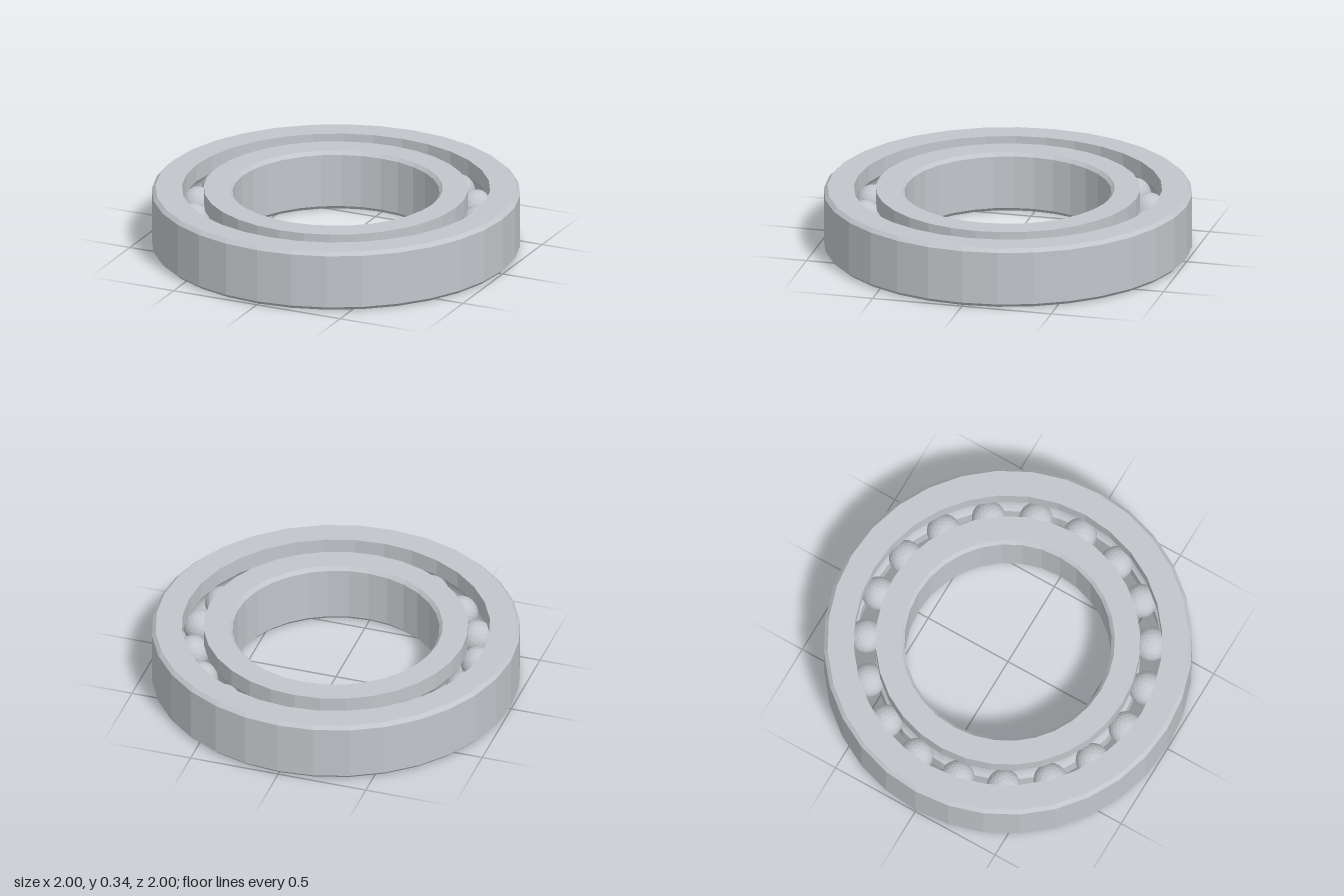
import * as THREE from 'three';

const HEIGHT = 0.336, MID = HEIGHT / 2, CHAMFER = 0.02;
const PITCH = 0.777, BALL_RADIUS = 0.092, BALLS = 19, SIDES = 32;

// Groove cross-section around the ball centre, swept between two angles in degrees
function groove(from, to, steps = 8) {
  const points = [];
  for (let i = 0; i <= steps; i++) {
    const a = THREE.MathUtils.degToRad(from + (to - from) * i / steps);
    points.push([PITCH + 0.093 * Math.cos(a), MID + 0.093 * Math.sin(a)]);
  }
  return points;
}

// Closed ring turned from a counterclockwise radius/height profile
function ring(name, profile, material) {
  const points = [...profile, profile[0]].map(([r, y]) => new THREE.Vector2(r, y));
  const mesh = new THREE.Mesh(new THREE.LatheGeometry(points, SIDES), material);
  mesh.name = name;
  return mesh;
}

export function createModel() {
  const model = new THREE.Group();
  model.name = 'ballBearing';
  const steel = new THREE.MeshStandardMaterial({ color: 0xc2c5ca, flatShading: true });
  steel.name = 'steel';

  // Outer race, chamfered outside and grooved inside
  model.add(ring('outerRace', [
    [0.837, 0], [1 - CHAMFER, 0], [1, CHAMFER], [1, HEIGHT - CHAMFER], [1 - CHAMFER, HEIGHT],
    [0.837, HEIGHT], ...groove(50, -50),
  ], steel));

  // Inner race, grooved outside and chamfered at the bore
  model.add(ring('innerRace', [
    [0.58, 0], [0.718, 0], ...groove(230, 130), [0.718, HEIGHT],
    [0.58, HEIGHT], [0.562, HEIGHT - CHAMFER], [0.562, CHAMFER],
  ], steel));

  // Balls spaced evenly round the groove
  const balls = new THREE.Group();
  balls.name = 'balls';
  const ballGeometry = new THREE.IcosahedronGeometry(BALL_RADIUS, 3);
  for (let i = 0; i < BALLS; i++) {
    const a = i / BALLS * Math.PI * 2;
    const ball = new THREE.Mesh(ballGeometry, steel);
    ball.name = 'ball';
    ball.position.set(PITCH * Math.cos(a), MID, PITCH * Math.sin(a));
    ball.rotation.y = -a;
    balls.add(ball);
  }
  model.add(balls);
  return model;
}
